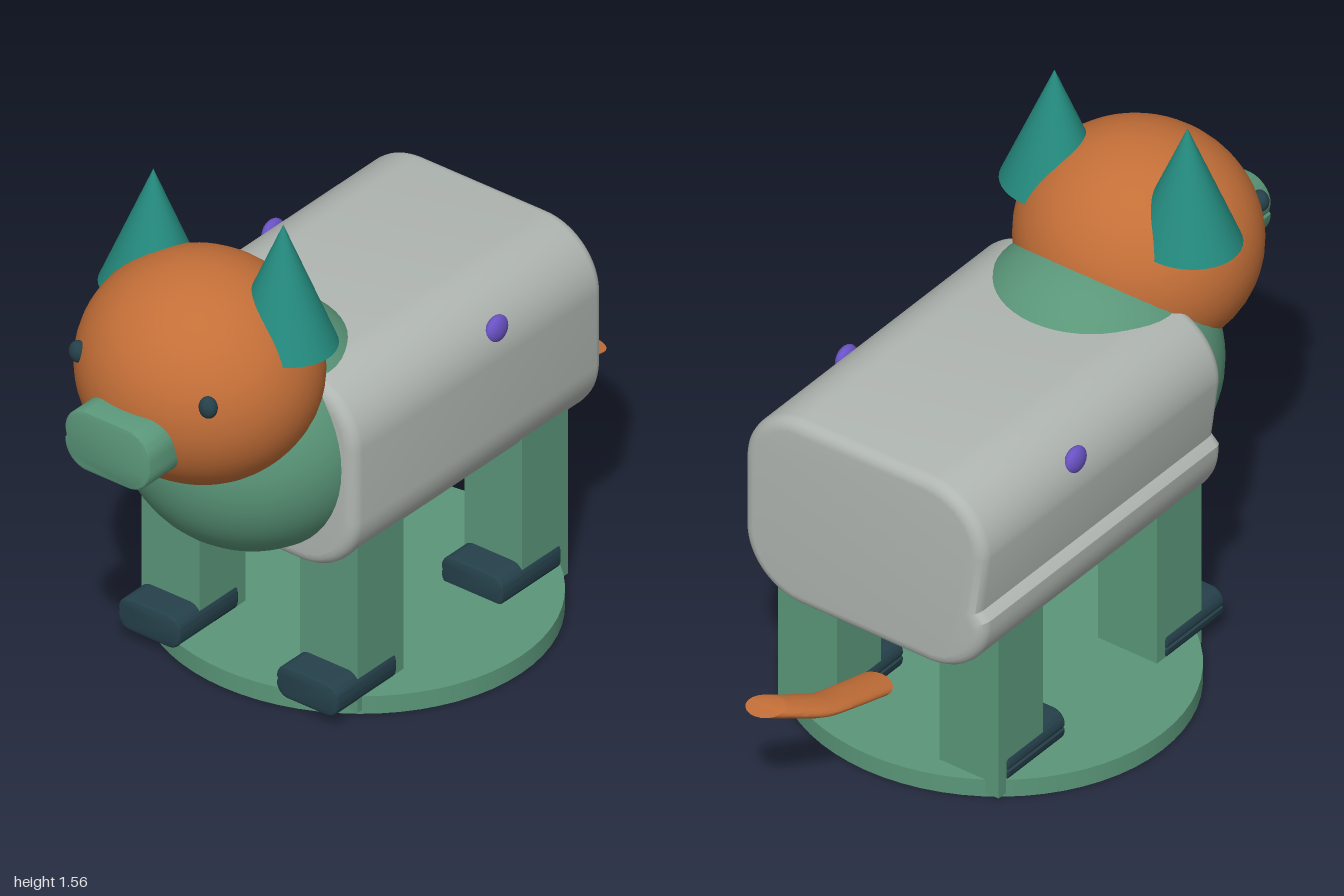
import * as THREE from 'three';
import { toCreasedNormals } from 'three/addons/utils/BufferGeometryUtils.js';

const mat = (name, color) => {
  const m = new THREE.MeshStandardMaterial({ color });
  m.name = name;
  return m;
};

// Rounded bar along z with bevelled ends and a small crease low on the -x side
function roundedBar(w, h, d, r, b) {
  const x = w / 2 - b, y = h / 2 - b, k = r - b;
  const s = new THREE.Shape();
  s.moveTo(-x, y - k);
  s.lineTo(-x + b * 0.75, -y + k + b * 0.7);
  s.lineTo(-x, -y + k);
  s.absarc(-x + k, -y + k, k, Math.PI, Math.PI * 1.5, false);
  s.absarc(x - k, -y + k, k, Math.PI * 1.5, Math.PI * 2, false);
  s.absarc(x - k, y - k, k, 0, Math.PI / 2, false);
  s.absarc(-x + k, y - k, k, Math.PI / 2, Math.PI, false);
  const g = new THREE.ExtrudeGeometry(s, {
    depth: d - 2 * b, bevelEnabled: true, bevelSize: b, bevelThickness: b, bevelSegments: 4, curveSegments: 10,
  });
  g.translate(0, 0, -(d - 2 * b) / 2);
  return toCreasedNormals(g, 0.6);
}

// Flattened tail: rings that stay nearly level while the path rises and bends
function tailGeometry() {
  const path = new THREE.CatmullRomCurve3([
    new THREE.Vector3(-0.004, 0.266, -0.565),
    new THREE.Vector3(-0.004, 0.3, -0.69),
    new THREE.Vector3(0.002, 0.33, -0.8),
    new THREE.Vector3(0.03, 0.36, -0.88),
    new THREE.Vector3(0.064, 0.388, -0.955),
  ]);
  const rings = 20, sides = 20, pos = [], idx = [];
  for (let i = 0; i <= rings; i++) {
    const t = i / rings, c = path.getPoint(t);
    for (let j = 0; j < sides; j++) {
      const a = (j / sides) * Math.PI * 2, u = Math.cos(a), v = Math.sin(a);
      pos.push(c.x + 0.057 * u, c.y + (0.014 - 0.007 * t) * v - 0.004 * t * u, c.z + (0.036 + 0.009 * t) * v);
      const n = (j + 1) % sides, p = i * sides;
      if (i < rings) idx.push(p + j, p + sides + j, p + n, p + n, p + sides + j, p + sides + n);
    }
  }
  // End caps
  for (let j = 1; j < sides - 1; j++) {
    const e = rings * sides;
    idx.push(0, j, j + 1, e, e + j + 1, e + j);
  }
  const g = new THREE.BufferGeometry();
  g.setAttribute('position', new THREE.Float32BufferAttribute(pos, 3));
  g.setIndex(idx);
  return toCreasedNormals(g, 0.8);
}

export function createModel() {
  const model = new THREE.Group();
  model.name = 'animal';
  const grey = mat('grey', 0xb0b6b1);
  const green = mat('green', 0x5a9679);
  const orange = mat('orange', 0xc46f38);
  const teal = mat('teal', 0x248a7e);
  const dark = mat('dark slate', 0x25404a);
  const purple = mat('purple', 0x6a52c4);
  const tailOrange = orange.clone();
  tailOrange.name = 'tail orange';
  tailOrange.side = THREE.DoubleSide;

  const add = (name, geo, material, x, y, z) => {
    const m = new THREE.Mesh(geo, material);
    m.name = name;
    m.position.set(x, y, z);
    model.add(m);
    return m;
  };
  const ball = (name, material, x, y, z, rx, ry, rz, seg = 40) =>
    add(name, new THREE.SphereGeometry(1, seg, seg * 0.6).scale(rx, ry, rz), material, x, y, z);

  // Stand
  add('base', new THREE.CylinderGeometry(1, 1, 0.055, 64).scale(0.572, 1, 0.55), green, 0, 0.0275, -0.045);

  // Trunk, chest and head
  add('body', roundedBar(0.805, 0.6, 1.06, 0.19, 0.035), grey, 0, 0.75, -0.08);
  ball('chest', green, 0, 0.797, 0.388, 0.365, 0.36, 0.358, 48);
  ball('head', orange, 0, 1.069, 0.605, 0.343, 0.319, 0.327, 48);
  add('snout', roundedBar(0.29, 0.186, 0.3, 0.075, 0.008), green, 0, 0.99, 0.85);
  add('tail', tailGeometry(), tailOrange, 0, 0, 0);

  // Mirrored parts
  for (const s of [1, -1]) {
    const side = s > 0 ? 'left' : 'right';
    add(side + 'Ear', new THREE.ConeGeometry(1, 0.36, 40).scale(0.154, 1, 0.139), teal, s * 0.222, 1.377, 0.527);
    ball(side + 'Eye', dark, s * 0.222, 1.138, 0.845, 0.027, 0.032, 0.024, 20);
    ball(side + 'Spot', purple, s * 0.382, 0.945, -0.178, 0.022, 0.04, 0.042, 20);
    for (const [end, legZ, footZ] of [['Front', 0.297, 0.361], ['Back', -0.4, -0.337]]) {
      add(side + end + 'Leg', new THREE.BoxGeometry(0.197, 0.59, 0.195), green, s * 0.27, 0.307, legZ);
      add(side + end + 'Foot', roundedBar(0.21, 0.1, 0.255, 0.04, 0.009), dark, s * 0.27, 0.086, footZ);
    }
  }
  return model;
}
